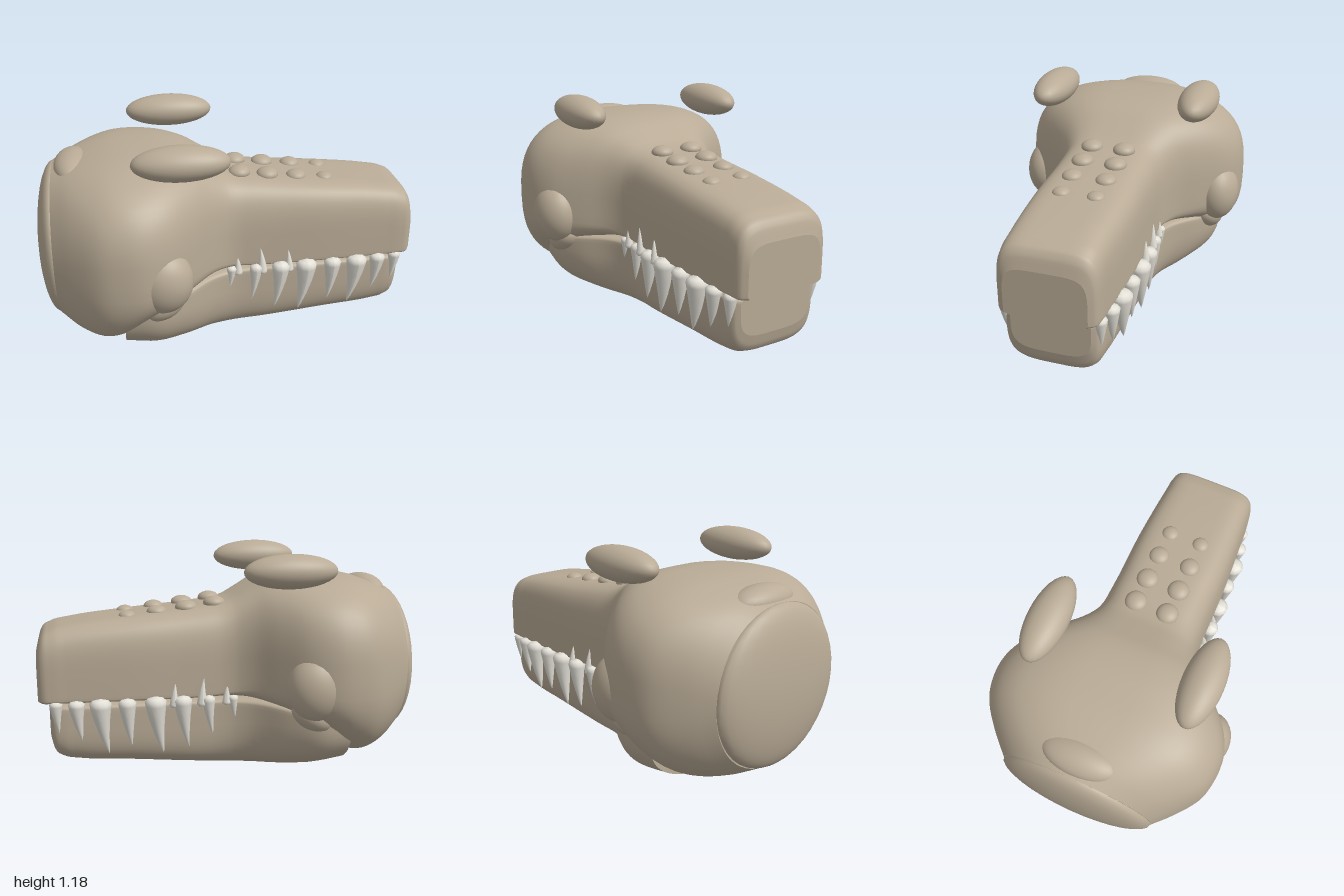
import * as THREE from 'three';

const hide = new THREE.MeshStandardMaterial({ color: 0xb9ab96 });
hide.name = 'tan hide';
const ivory = new THREE.MeshStandardMaterial({ color: 0xe2dfd6 });
ivory.name = 'ivory';

// Smooth skin over stations of [x, top, bottom, widest y, half width, top squareness, bottom squareness]
function loft(stations, steps, sides = 64) {
  const xs = stations.map(s => s[0]);
  const spline = new THREE.CubicInterpolant(xs, stations.flatMap(s => s.slice(1)), 6);
  const pos = [], index = [], rings = [];
  for (let k = 0; k < xs.length - 1; k++)
    for (let i = 0; i < steps; i++) rings.push(xs[k] + (xs[k + 1] - xs[k]) * i / steps);
  rings.push(xs[xs.length - 1]);
  for (const x of rings) {
    const [top, bottom, mid, half, nTop, nBottom] = spline.evaluate(x);
    for (let j = 0; j < sides; j++) {
      const t = j / sides * Math.PI * 2, c = Math.cos(t), s = Math.sin(t);
      const p = 2 / (s > 0 ? nTop : nBottom);
      pos.push(x, mid + Math.sign(s) * Math.abs(s) ** p * (s > 0 ? top - mid : mid - bottom),
        half * Math.sign(c) * Math.abs(c) ** p);
    }
  }
  for (let i = 0; i < rings.length - 1; i++)
    for (let j = 0; j < sides; j++) {
      const a = i * sides + j, b = i * sides + (j + 1) % sides;
      index.push(a, a + sides, b, b, a + sides, b + sides);
    }
  // Flat end caps on their own vertices
  for (const ring of [0, rings.length - 1]) {
    const first = pos.length / 3, start = ring * sides * 3;
    pos.push(...pos.slice(start, start + sides * 3));
    const y = (pos[start + sides / 4 * 3 + 1] + pos[start + sides * 3 / 4 * 3 + 1]) / 2;
    pos.push(rings[ring], y, 0);
    for (let j = 0; j < sides; j++) {
      const a = first + j, b = first + (j + 1) % sides;
      index.push(first + sides, ...(ring ? [b, a] : [a, b]));
    }
  }
  const geo = new THREE.BufferGeometry();
  geo.setAttribute('position', new THREE.Float32BufferAttribute(pos, 3));
  geo.setIndex(index);
  geo.computeVertexNormals();
  return geo;
}

// Curved tooth hanging from its root, the tip swept back
function toothGeometry(radius, length, lean) {
  const profile = [[0, 1], [0.2, 0.86], [0.46, 0.62], [0.74, 0.33], [0.96, 0.08], [1, 0], [0.7, -0.06], [0, -0.09]];
  const geo = new THREE.LatheGeometry(profile.map(([r, d]) => new THREE.Vector2(r * radius, -d * length)), 12);
  const p = geo.attributes.position;
  for (let i = 0; i < p.count; i++) p.setX(i, p.getX(i) - lean * (p.getY(i) / length) ** 2);
  geo.computeVertexNormals();
  return geo;
}

export function createModel() {
  const model = new THREE.Group();
  model.name = 'reptileHead';
  const add = (name, geo, mat = hide) => {
    const mesh = new THREE.Mesh(geo, mat);
    mesh.name = name;
    model.add(mesh);
    return mesh;
  };
  const blob = (name, [x, y, z], [rx, ry, rz]) => {
    const mesh = add(name, new THREE.SphereGeometry(1, 32, 20));
    mesh.position.set(x, y, z);
    mesh.scale.set(rx, ry, rz);
    return mesh;
  };

  // Skull and upper snout
  add('skullAndSnout', loft([
    [-0.9, 0.96, 0.15, 0.555, 0.42, 2.1, 2.1],
    [-0.8, 1.0, 0.1, 0.56, 0.515, 2.5, 2.4],
    [-0.68, 1.03, 0.075, 0.56, 0.605, 2.8, 2.5],
    [-0.58, 1.045, 0.11, 0.56, 0.635, 3, 2.6],
    [-0.45, 1.05, 0.24, 0.56, 0.635, 3, 3],
    [-0.32, 1.045, 0.33, 0.56, 0.575, 3, 3.6],
    [-0.2, 1.02, 0.39, 0.55, 0.46, 3.2, 4.2],
    [-0.1, 0.97, 0.42, 0.53, 0.355, 3.6, 5],
    [0, 0.92, 0.432, 0.5, 0.295, 4, 6],
    [0.15, 0.895, 0.43, 0.47, 0.28, 4.3, 6],
    [0.5, 0.86, 0.43, 0.47, 0.275, 4.8, 6],
    [0.85, 0.82, 0.43, 0.47, 0.255, 5, 6],
    [0.93, 0.8, 0.43, 0.47, 0.25, 5, 6],
    [0.98, 0.76, 0.43, 0.47, 0.235, 5, 6],
    [1.0, 0.69, 0.435, 0.47, 0.205, 5, 6],
  ], 4));
  blob('backOfHead', [-0.9, 0.555, 0], [0.1, 0.405, 0.42]);
  blob('napeBump', [-0.79, 0.955, 0], [0.1, 0.075, 0.2]);

  // Lower jaw
  add('lowerJaw', loft([
    [-0.57, 0.36, 0.04, 0.32, 0.51, 2.5, 2.5],
    [-0.4, 0.4, 0.017, 0.35, 0.53, 3, 2.5],
    [-0.25, 0.425, 0.008, 0.37, 0.455, 4, 2.6],
    [-0.1, 0.428, 0.012, 0.38, 0.335, 5, 3],
    [0.02, 0.428, 0.022, 0.38, 0.282, 5, 3.5],
    [0.2, 0.428, 0.04, 0.38, 0.268, 5, 4],
    [0.55, 0.428, 0.075, 0.38, 0.258, 5, 4],
    [0.82, 0.428, 0.1, 0.38, 0.245, 5, 4],
    [0.89, 0.428, 0.12, 0.38, 0.24, 5, 4],
    [0.93, 0.428, 0.16, 0.38, 0.225, 5, 4],
    [0.945, 0.425, 0.22, 0.38, 0.2, 5, 4],
  ], 4));

  // Teeth as [x, length, radius, backward lean, z]
  const upperTeeth = [
    [0.005, 0.13, 0.026, 0.015, 0.282], [0.135, 0.2, 0.034, 0.022, 0.285],
    [0.27, 0.255, 0.048, 0.03, 0.285], [0.41, 0.285, 0.056, 0.038, 0.28],
    [0.555, 0.235, 0.046, 0.02, 0.275], [0.69, 0.27, 0.056, 0.038, 0.267],
    [0.81, 0.2, 0.042, 0.025, 0.255], [0.912, 0.16, 0.034, 0.012, 0.235],
  ];
  const lowerTeeth = [[0.04, 0.11, 0.024, 0.006], [0.17, 0.14, 0.027, 0.012], [0.315, 0.12, 0.025, 0.008]];

  for (const [side, s] of [['left', -1], ['right', 1]]) {
    const label = name => side + name;
    blob(label('Eye'), [-0.26, 1.1, s * 0.408], [0.24, 0.087, 0.104]);
    blob(label('Cheek'), [-0.37, 0.53, s * 0.52], [0.15, 0.17, 0.122]);
    const hinge = blob(label('JawHinge'), [-0.37, 0.37, s * 0.475], [0.12, 0.075, 0.085]);
    hinge.rotation.z = 0.5;

    // Scutes along the snout
    [[0.07, 0.905, 0.058], [0.22, 0.885, 0.058], [0.375, 0.867, 0.053], [0.53, 0.849, 0.045]]
      .forEach(([x, y, r]) => blob(label('Scute'), [x, y, s * 0.088], [r, r * 0.62, r]));

    for (const [x, length, radius, lean, z] of upperTeeth)
      add(label('UpperTooth'), toothGeometry(radius, length, lean), ivory).position.set(x, 0.435, s * z);
    for (const [x, length, radius, lean] of lowerTeeth) {
      const tooth = add(label('LowerTooth'), toothGeometry(radius, length, lean), ivory);
      tooth.rotation.x = Math.PI;
      tooth.position.set(x, 0.405, s * 0.28);
    }
  }
  return model;
}
